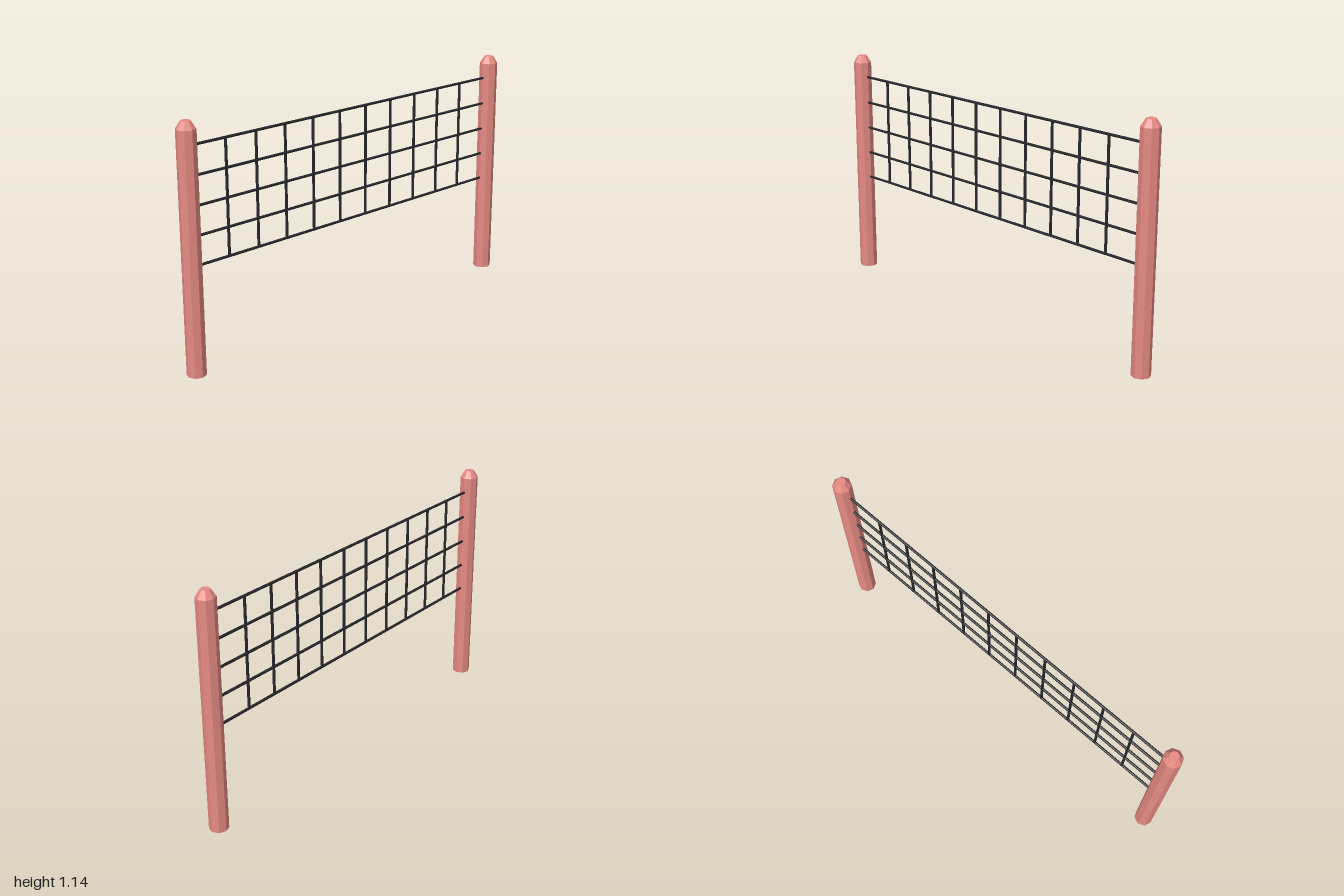
import * as THREE from 'three';

const POST_Z = 0.956, POST_R = 0.0445;

export function createModel() {
  const net = new THREE.Group();
  net.name = 'netFence';
  const postMat = new THREE.MeshStandardMaterial({ color: 0xe58a82, flatShading: true });
  const cordMat = new THREE.MeshStandardMaterial({ color: 0x25272a, flatShading: true });

  const add = (name, geometry, material, x, y, z) => {
    const mesh = new THREE.Mesh(geometry, material);
    mesh.name = name;
    mesh.position.set(x, y, z);
    net.add(mesh);
    return mesh;
  };

  // Octagonal posts with bevelled tops
  const postGeo = new THREE.LatheGeometry([
    new THREE.Vector2(0, 0),
    new THREE.Vector2(POST_R, 0),
    new THREE.Vector2(POST_R, 1.107),
    new THREE.Vector2(0.022, 1.142),
    new THREE.Vector2(0, 1.142),
  ], 8);
  add('frontPost', postGeo, postMat, 0, 0, POST_Z);
  add('backPost', postGeo, postMat, 0, 0, -POST_Z);

  // Horizontal cords running between the posts
  const bottom = 0.5, top = 1.033, rows = 5;
  const rowGeo = new THREE.CylinderGeometry(0.0065, 0.0065, 1.85, 8).rotateX(Math.PI / 2);
  for (let i = 0; i < rows; i++) {
    add('horizontalCord', rowGeo, cordMat, 0, bottom + (top - bottom) * i / (rows - 1), 0);
  }

  // Vertical cords, spaced from the front post
  const columnGeo = new THREE.CylinderGeometry(0.0065, 0.0065, 0.527, 8);
  for (let i = 0; i < 10; i++) {
    add('verticalCord', columnGeo, cordMat, 0, 0.77, 0.754 - 0.1653 * i);
  }
  return net;
}
